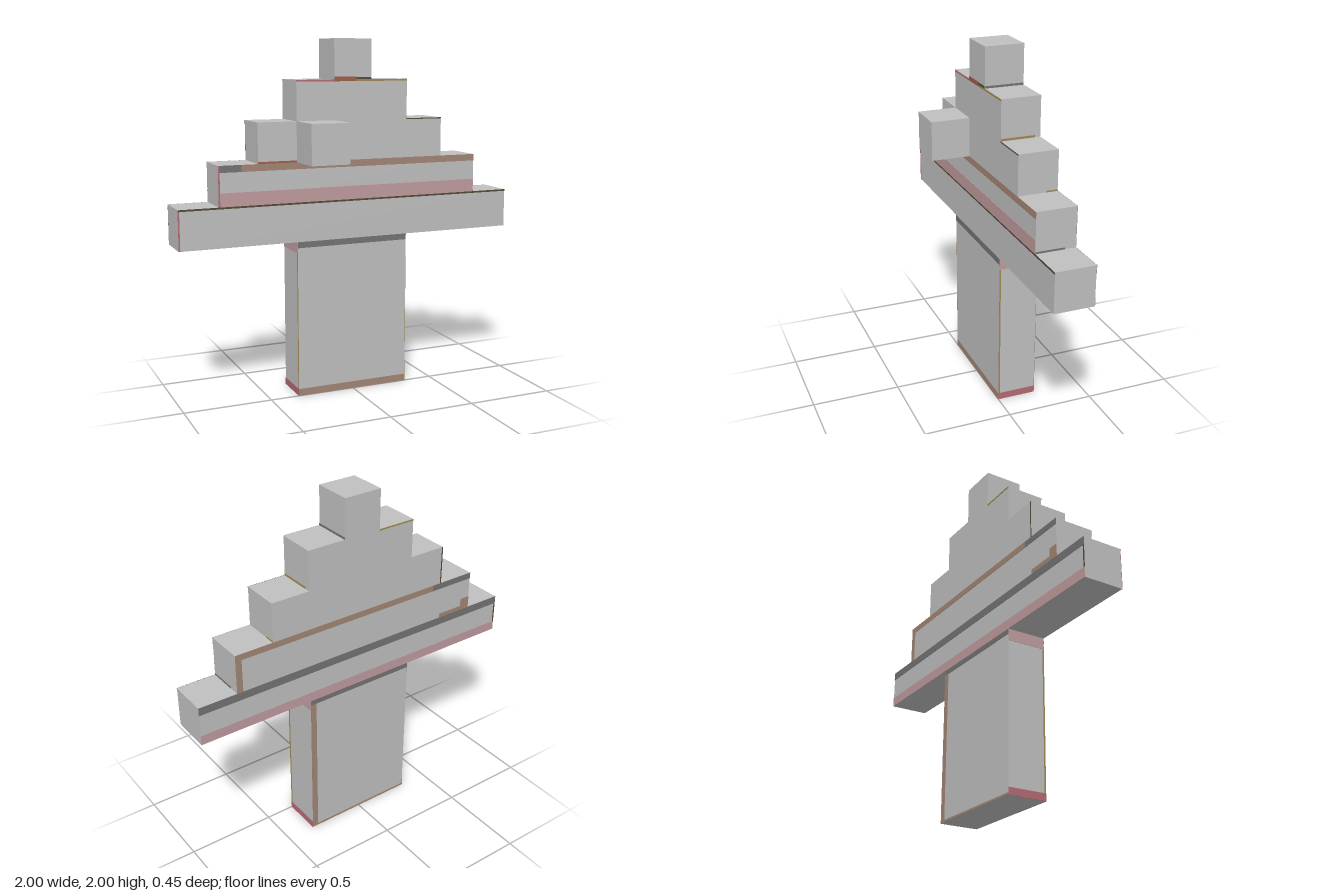
import * as THREE from 'three';

const U = 2 / 9; // one block

export function createModel() {
  const model = new THREE.Group();
  model.name = 'blockTree';

  const mat = (name, color) => {
    const m = new THREE.MeshStandardMaterial({ color });
    m.name = name;
    return m;
  };
  const grey = mat('stoneGrey', 0xc0c0c0);
  const dark = mat('darkGrey', 0x747474);
  const brown = mat('brown', 0xa28674);
  const pink = mat('palePink', 0xc09c9f);
  const red = mat('dustyRed', 0xb46a72);
  const gold = mat('ochre', 0xa08a50);
  const rust = mat('rust', 0x9c5f48);
  const olive = mat('darkOlive', 0x554c38);

  // Box given by its extents on each axis
  const block = (name, m, x0, x1, y0, y1, z0, z1) => {
    const mesh = new THREE.Mesh(new THREE.BoxGeometry(x1 - x0, y1 - y0, z1 - z0), m);
    mesh.position.set((x0 + x1) / 2, (y0 + y1) / 2, (z0 + z1) / 2);
    mesh.name = name;
    model.add(mesh);
  };

  // Trunk, tiers and the single projecting block
  block('trunk', grey, -1.5 * U, 1.5 * U, 0, 4 * U, -U, 0);
  [4.5, 3.5, 2.5, 1.5, 0.5].forEach((half, i) =>
    block('tier' + (i + 1), grey, -half * U, half * U, (4 + i) * U, (5 + i) * U, -U, 0));
  block('frontBlock', grey, -1.5 * U, -0.5 * U, 6 * U, 7 * U, 0, U);

  // Thin painted bands
  const T = 0.002;
  const front = (name, m, x0, x1, y0, y1) => block(name, m, x0, x1, y0, y1, 0, T);
  const back = (name, m, x0, x1, y0, y1) => block(name, m, x0, x1, y0, y1, -U - T, -U);
  const side = (name, m, x, y0, y1, z0 = -U, z1 = 0) =>
    block(name, m, x > 0 ? x : x - T, x > 0 ? x + T : x, y0, y1, z0, z1);

  const w = 1.5 * U, w2 = 3.5 * U, top1 = 5 * U, top2 = 6 * U, top4 = 8 * U;

  // Trunk bands
  front('trunkFootBand', brown, -w, w, 0, 0.04);
  front('trunkNeckBand', dark, -w, w, 0.855, 4 * U);
  back('trunkBackNeckBand', dark, -w, w, 0.86, 4 * U);
  back('trunkBackEdge', brown, w - 0.035, w, 0, 0.86);
  back('trunkBackFoot', brown, -w, w - 0.035, 0, 0.012);
  for (const s of [-1, 1]) {
    side('trunkSideFoot', red, s * w, 0, 0.04);
    side('trunkSideNeck', pink, s * w, 0.825, 4 * U);
    side('trunkSideEdge', gold, s * w, 0.04, 0.825, -0.008, 0);
  }

  // Lowest tier bands
  front('tier1TopLine', olive, -1, 1, top1 - 0.01, top1);
  front('tier1EndLine', red, -1, -0.992, 4 * U, top1 - 0.01);
  back('tier1BackTopBand', dark, -1, 1, top1 - 0.045, top1);
  back('tier1BackFootBand', pink, -1, 1, 4 * U, 4 * U + 0.055);
  back('tier1BackEndLine', olive, -1, -0.992, 4 * U + 0.055, top1 - 0.045);

  // Second tier bands
  front('tier2TopBand', brown, -0.65, w2, top2 - 0.038, top2);
  front('tier2TopCorner', dark, -w2 + 0.008, -0.65, top2 - 0.038, top2);
  front('tier2FootBand', pink, -w2 + 0.008, w2, top1, top1 + 0.075);
  front('tier2EndLine', red, -w2, -w2 + 0.008, top1, top2);
  back('tier2BackTopBand', brown, -0.5, w2, top2 - 0.035, top2);
  back('tier2BackTopCorner', dark, -w2, -0.5, top2 - 0.035, top2);
  back('tier2BackEdge', brown, w2 - 0.035, w2, top1, top2 - 0.035);
  back('tier2BackPatch', brown, -w2, -w2 + 0.06, top1, top1 + 0.07);
  back('tier2BackPatchTail', brown, -w2 + 0.06, -w2 + 0.22, top1, top1 + 0.025);

  // Fine lines on the upper tiers
  front('tier3FootLine', rust, -2.5 * U, -w, top2, top2 + 0.01);
  front('tier3FootLineDark', dark, -w, -0.14, top2, top2 + 0.01);
  front('tier3TopLine', olive, w, 2.5 * U, 7 * U - 0.006, 7 * U);
  front('tier4TopLineLeft', red, -w, -0.11, top4 - 0.01, top4);
  front('tier4TopLineRight', gold, 0.02, w, top4 - 0.01, top4);
  front('tier5FootLine', rust, -0.11, 0.02, top4 - 0.01, top4 + 0.015);
  front('tier5FootLineDark', olive, 0.02, 0.11, top4, top4 + 0.012);
  back('tier4BackTopLine', gold, -w, -0.11, top4 - 0.008, top4);
  back('tier3BackEndLine', olive, -2.5 * U, -2.5 * U + 0.006, top2, 7 * U);
  side('tier4SideFoot', gold, w, 7 * U, 7 * U + 0.012, -0.19, 0);
  side('tier5SideFoot', dark, 0.5 * U, top4, top4 + 0.012);
  side('tier3SideFoot', gold, 2.5 * U, top2, top2 + 0.008, -U, -0.16);
  side('tier2SideFoot', dark, w2, top1, top1 + 0.01, -0.16, 0);

  return model;
}
